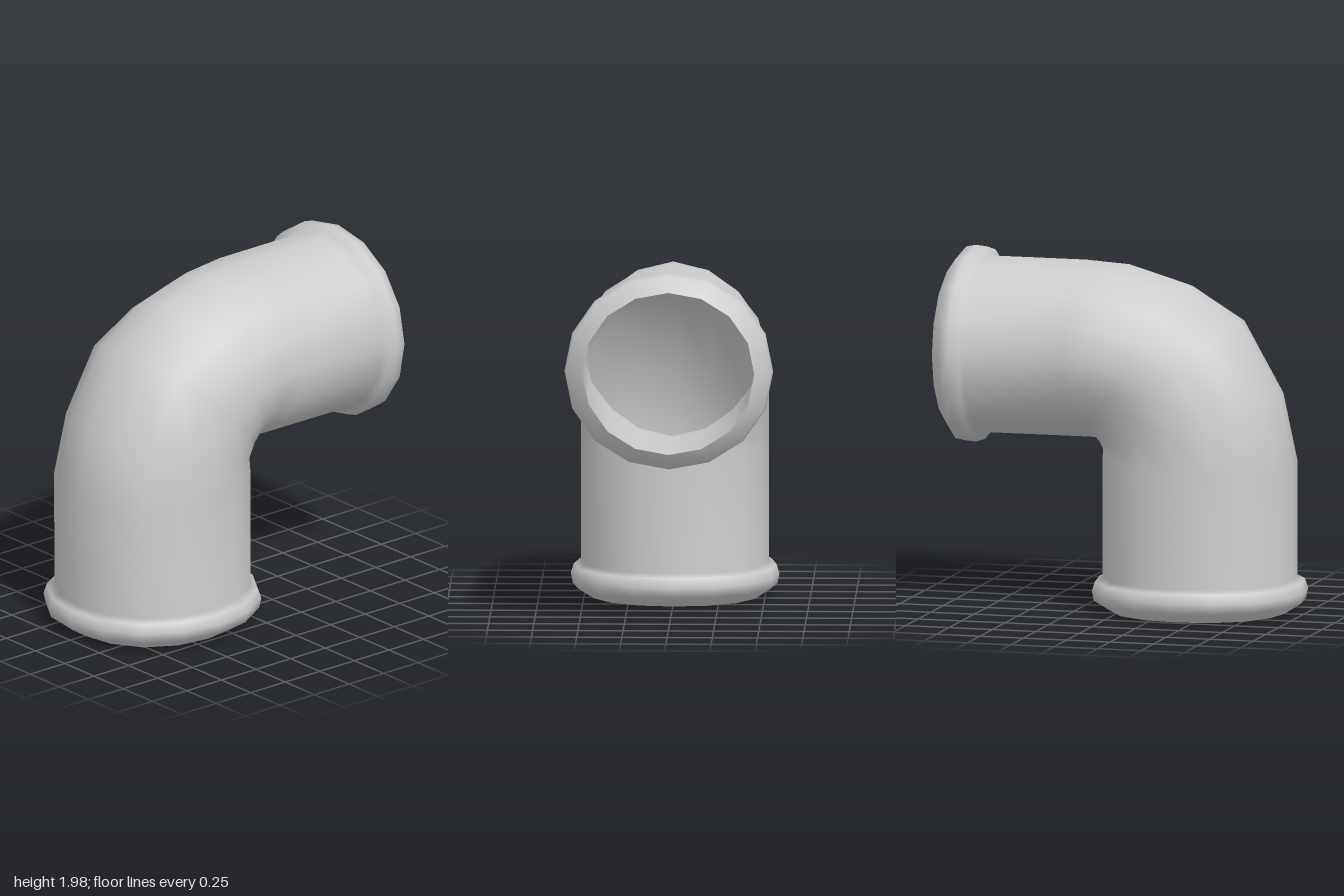
import * as THREE from 'three';

const SIDES = 16;

// A section is [outerX, outerY, innerX, innerY, halfDepth, bulge]: an ellipse across
// the pipe whose diagonals are pushed out (or in) by the bulge
const upright = (y, r) => [-0.405 - 1.03 * r, y, -0.405 + 1.03 * r, y, r, 0.03];
const level = (x, r) => [x, 1.435 + 0.953 * r, x, 1.435 - 0.953 * r, r, 0.005];

// Skin a list of sections with a smooth closed tube
function loft(name, sections) {
  const pos = [], index = [];
  sections.forEach(([ox, oy, ix, iy, depth, bulge], i) => {
    const cx = (ox + ix) / 2, cy = (oy + iy) / 2;
    for (let j = 0; j < SIDES; j++) {
      const a = (j / SIDES) * Math.PI * 2;
      const k = 1 + bulge * Math.sin(2 * a) ** 2;
      const c = k * Math.cos(a);
      pos.push(cx + (ox - cx) * c, cy + (oy - cy) * c, depth * k * Math.sin(a));
      if (i === sections.length - 1) continue;
      const p = i * SIDES + j, q = i * SIDES + ((j + 1) % SIDES);
      index.push(p, q, p + SIDES, q, q + SIDES, p + SIDES);
    }
  });
  const geometry = new THREE.BufferGeometry();
  geometry.setAttribute('position', new THREE.Float32BufferAttribute(pos, 3));
  geometry.setIndex(index);
  geometry.computeVertexNormals();
  const material = new THREE.MeshStandardMaterial({ color: 0xcccccc, side: THREE.DoubleSide });
  const mesh = new THREE.Mesh(geometry, material);
  mesh.name = name;
  return mesh;
}

// Shrink a section about its centre
function shrink([ox, oy, ix, iy, depth, bulge], k) {
  const cx = (ox + ix) / 2, cy = (oy + iy) / 2;
  return [cx + (ox - cx) * k, cy + (oy - cy) * k, cx + (ix - cx) * k, cy + (iy - cy) * k, depth * k, bulge];
}

export function createModel() {
  const group = new THREE.Group();
  group.name = 'pipeElbow';

  // Sections fanning round the tight inside corner
  const bend = [
    [-0.942, 0.82, 0.13, 0.87, 0.52, 0.03],
    [-0.865, 1.215, 0.132, 0.895, 0.52, 0],
    [-0.635, 1.625, 0.145, 0.917, 0.52, -0.01],
    [-0.33, 1.82, 0.162, 0.93, 0.52, -0.04],
    [0, 1.915, 0.185, 0.938, 0.52, -0.04],
    [0.25, 1.93, 0.225, 0.941, 0.52, 0],
  ];

  // Rolled rim at each end: distance from the opening and radius
  const rim = [[0, 0.475], [0.06, 0.566], [0.115, 0.577], [0.168, 0.56], [0.188, 0.519]];
  group.add(loft('outerWallAndRims', [
    ...rim.map(([d, r]) => upright(d, r)),
    ...bend,
    ...rim.map(([d, r]) => level(1 - d, r)).reverse(),
  ]));

  // Bore, running the other way so that it faces inward
  const bore = [
    upright(0, 0.475), upright(0.19, 0.488),
    ...bend.map((s) => shrink(s, 0.945)),
    level(0.81, 0.488), level(1, 0.475),
  ];
  group.add(loft('innerWall', bore.reverse()));

  return group;
}
